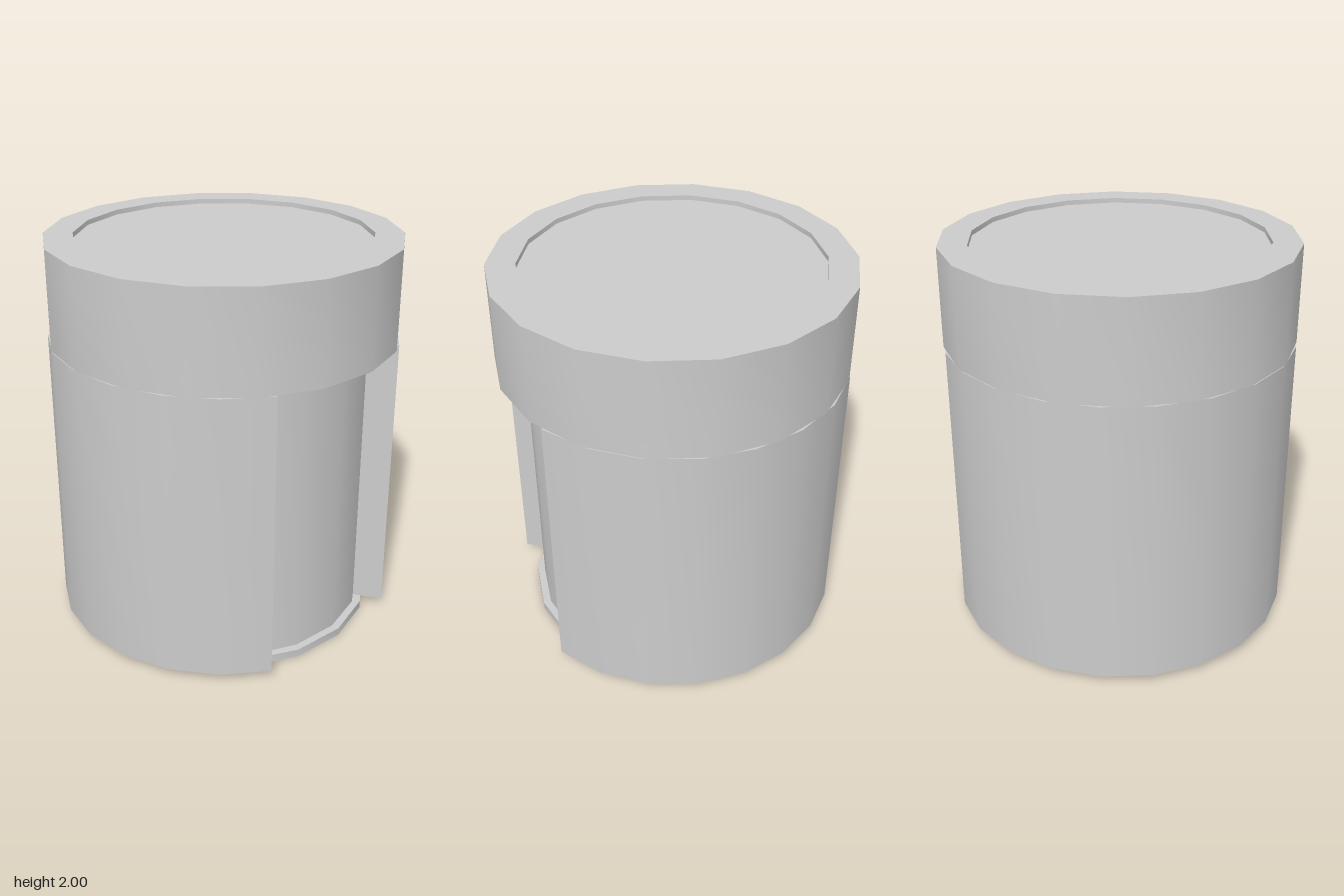
import * as THREE from 'three';
import { toCreasedNormals } from 'three/addons/utils/BufferGeometryUtils.js';

const material = new THREE.MeshStandardMaterial({ color: 0xcccccc });
const SIDES = 18;
const OUTER = 0.88, INNER = 0.735;
const PHASE = THREE.MathUtils.degToRad(4);

// Points on an arc; the angle runs from +z towards +x.
function arc(radius, start, sweep, count, steps) {
  return Array.from({ length: count }, (_, i) => {
    const a = start + (sweep * i) / steps;
    return new THREE.Vector2(radius * Math.sin(a), -radius * Math.cos(a));
  });
}

// Upright prism between two heights, smooth round its sides.
function prism(name, shape, y0, y1) {
  let geometry = new THREE.ExtrudeGeometry(shape, { depth: y1 - y0, bevelEnabled: false });
  geometry.rotateX(-Math.PI / 2).translate(0, y0, 0);
  geometry = toCreasedNormals(geometry, Math.PI / 6);
  const mesh = new THREE.Mesh(geometry, material);
  mesh.name = name;
  return mesh;
}

const disc = (radius, sides) => new THREE.Shape(arc(radius, PHASE, Math.PI * 2, sides, sides));

export function createModel() {
  const group = new THREE.Group();
  group.name = 'slottedCanister';

  // Foot that lifts the sleeve off the ground
  group.add(prism('foot', disc(0.775, 17), 0, 0.04));

  // Inner core, ending just below the top of the rim
  group.add(prism('core', disc(INNER, SIDES), 0.04, 1.975));

  // Sleeve wrapped 300 degrees round the core, open at the front
  const start = THREE.MathUtils.degToRad(29.3), sweep = THREE.MathUtils.degToRad(300);
  const sleeve = new THREE.Shape([
    ...arc(OUTER, start, sweep, SIDES + 1, SIDES),
    ...arc(INNER - 0.012, start, sweep, SIDES + 1, SIDES).reverse(),
  ]);
  group.add(prism('sleeve', sleeve, 0.04, 1.5));

  // Full ring round the top
  const rim = disc(OUTER, SIDES);
  rim.holes.push(new THREE.Path(arc(INNER, PHASE, Math.PI * 2, SIDES, SIDES).reverse()));
  group.add(prism('rim', rim, 1.5, 2));

  return group;
}
